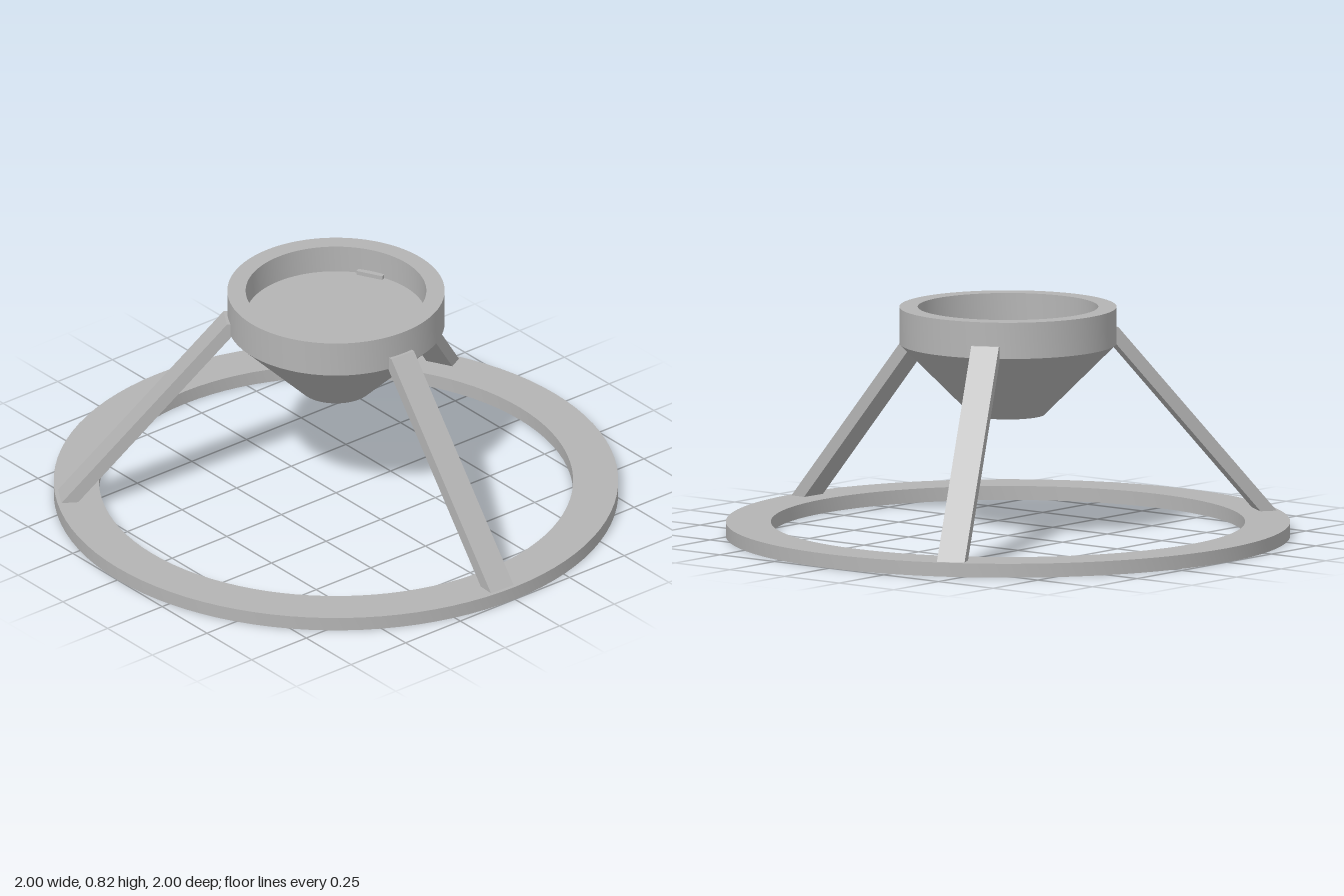
import * as THREE from 'three';
import { toCreasedNormals } from 'three/addons/utils/BufferGeometryUtils.js';

const grey = new THREE.MeshStandardMaterial({ color: 0xb4b4b4 });
grey.name = 'plain grey';

// Revolved part with sharp profile corners
function turned(name, profile) {
  const points = profile.map(([r, y]) => new THREE.Vector2(r, y));
  const geometry = toCreasedNormals(new THREE.LatheGeometry(points, 96), 0.4);
  const mesh = new THREE.Mesh(geometry, grey);
  mesh.name = name;
  return mesh;
}

export function createModel() {
  const model = new THREE.Group();
  model.name = 'tripodStand';

  // Flat ring on the ground
  model.add(turned('baseRing', [[0.84, 0.05], [0.84, 0], [1, 0], [1, 0.05], [0.84, 0.05]]));

  // Cup with a shallow recess and a tapered underside
  model.add(turned('cup', [
    [0, 0.435], [0.13, 0.435], [0.385, 0.69], [0.385, 0.82],
    [0.32, 0.82], [0.32, 0.72], [0, 0.72],
  ]));

  // Sloping leg profile: distance from the axis, height
  const profile = [
    [0.945, 0.03], [0.985, 0.03], [0.985, 0.05], [0.395, 0.735],
    [0.3, 0.735], [0.3, 0.7], [0.374, 0.69], [0.925, 0.05],
  ];
  const shape = new THREE.Shape(profile.map(([r, y]) => new THREE.Vector2(r, y)));
  const legGeometry = new THREE.ExtrudeGeometry(shape, { depth: 0.1, bevelEnabled: false });
  legGeometry.translate(0, 0, -0.05).rotateY(-Math.PI / 2);

  // Three legs, evenly spaced
  ['frontLeg', 'leftLeg', 'rightLeg'].forEach((name, i) => {
    const leg = new THREE.Mesh(legGeometry, grey);
    leg.name = name;
    leg.rotation.y = THREE.MathUtils.degToRad(-2.6 + i * 120);
    model.add(leg);
  });

  return model;
}
